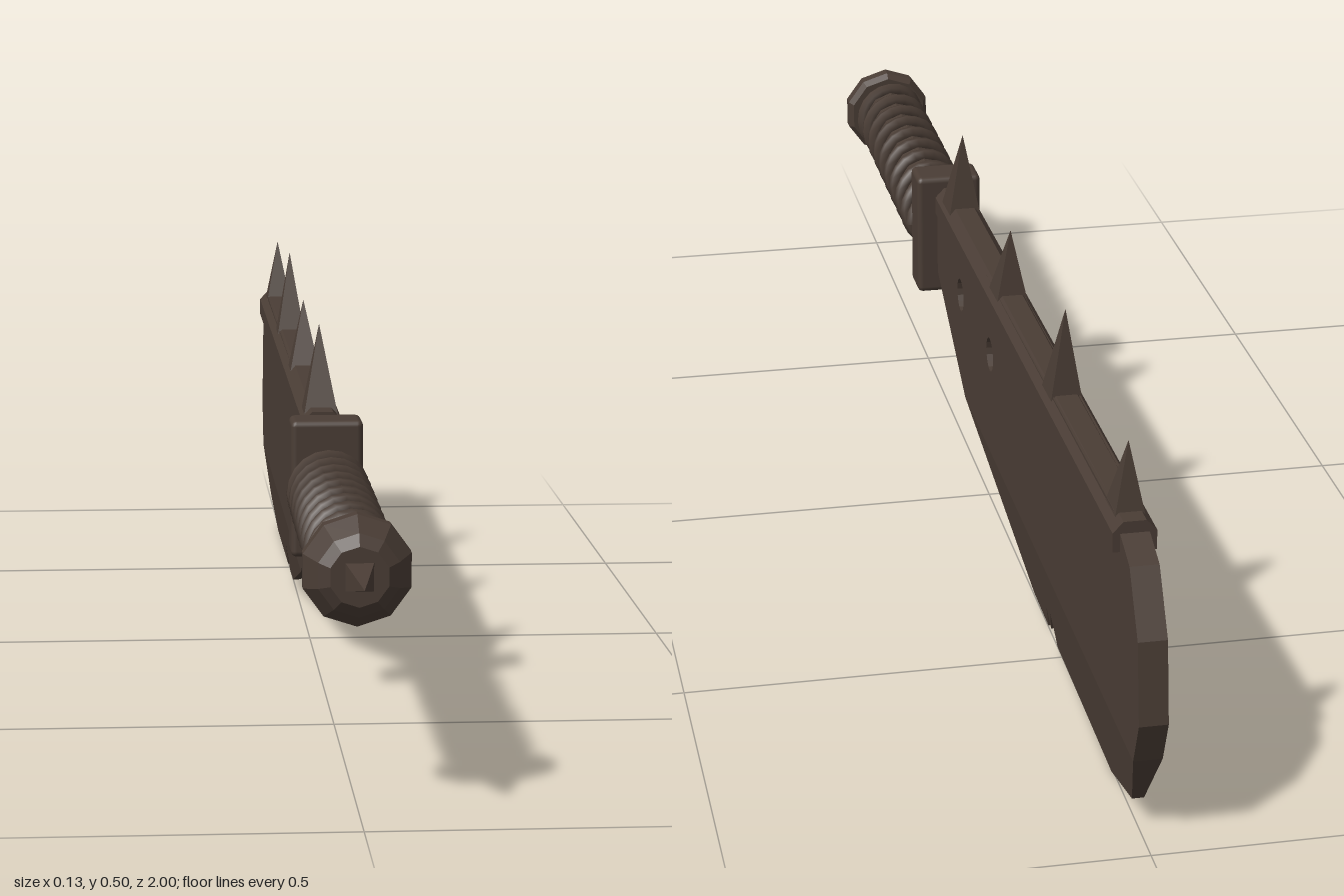
import * as THREE from 'three';
import { RoundedBoxGeometry } from 'three/addons/geometries/RoundedBoxGeometry.js';

const AXIS_Y = 0.287; // height of the handle axis

export function createModel() {
  const group = new THREE.Group();
  const brown = new THREE.MeshStandardMaterial({ color: 0x4a3d35 });
  brown.name = 'darkBrown';

  function add(name, geometry, flat = true) {
    let g = geometry;
    if (flat) {
      if (g.index) g = g.toNonIndexed();
      g.computeVertexNormals();
    }
    const mesh = new THREE.Mesh(g, brown);
    mesh.name = name;
    group.add(mesh);
    return mesh;
  }

  // Extrude a side profile of [z, y] points across x, centred
  function slab(points, half, holes = []) {
    const shape = new THREE.Shape(points.map(([z, y]) => new THREE.Vector2(-z, y)));
    for (const [z, y, r] of holes) {
      const hole = new THREE.Path();
      hole.absarc(-z, y, r, 0, Math.PI * 2, true);
      shape.holes.push(hole);
    }
    const g = new THREE.ExtrudeGeometry(shape, { depth: half * 2, bevelEnabled: false, curveSegments: 8 });
    return g.translate(0, 0, -half).rotateY(Math.PI / 2);
  }

  // Change each vertex by a rule
  function warp(g, rule) {
    const p = g.attributes.position;
    const v = new THREE.Vector3();
    for (let i = 0; i < p.count; i++) {
      rule(v.fromBufferAttribute(p, i));
      p.setXYZ(i, v.x, v.y, v.z);
    }
    return g;
  }

  // Four-sided spike of unit height, base width w and length l
  const pyramid = (w, l) => new THREE.ConeGeometry(Math.SQRT1_2, 1, 4)
    .rotateY(Math.PI / 4).translate(0, 0.5, 0).scale(w, 1, l);

  // Blade: full-thickness upper body with two round holes
  add('bladeBody', slab([
    [0.32, 0.235], [0.09, 0.12], [-0.975, 0.12], [-1, 0.18], [-0.987, 0.285],
    [-0.94, 0.36], [-0.85, 0.393], [0.27, 0.37], [0.32, 0.35],
  ], 0.018, [[0.125, 0.267, 0.024], [-0.095, 0.267, 0.024]]));

  // Cutting edge: thins downward and has a ragged chip
  add('cuttingEdge', warp(slab([
    [0.09, 0.12], [-0.34, 0.018], [-0.43, 0.015], [-0.436, 0.047], [-0.452, 0.022],
    [-0.462, 0.05], [-0.476, 0.035], [-0.487, 0.013], [-0.8, 0.004], [-0.93, 0.042], [-0.975, 0.12],
  ], 0.018), (v) => { v.x *= 0.1 + 0.9 * Math.min(1, v.y / 0.12); }));

  // Reinforced spine with chamfered top, rising slightly to the tip
  const half = [[-0.027, 0.337], [0.027, 0.337], [0.027, 0.362], [0.014, 0.376], [-0.014, 0.376], [-0.027, 0.362]];
  const spine = new THREE.ExtrudeGeometry(
    new THREE.Shape(half.map(([x, y]) => new THREE.Vector2(x, y))), { depth: 1.165, bevelEnabled: false },
  ).translate(0, 0, -0.89);
  add('spine', warp(spine, (v) => { v.y += (0.275 - v.z) * 0.015; }));

  // Spikes along the spine, each leaning toward the tip: [base z, apex z, apex y]
  [[0.213, 0.2, 0.485], [-0.135, -0.15, 0.473], [-0.483, -0.5, 0.502], [-0.838, -0.85, 0.48]]
    .forEach(([z, tip, top], i) => {
      const g = warp(pyramid(0.046, 0.062), (v) => {
        v.z += z + v.y * (tip - z);
        v.y = 0.365 + v.y * (top - 0.365);
      });
      add('spineSpike' + (i + 1), g);
    });

  // Guard
  add('guard', new RoundedBoxGeometry(0.095, 0.182, 0.06, 2, 0.008), false).position.set(0, 0.288, 0.34);

  // Handle core and pommel, turned about the z axis: [radius, z]
  const turned = (profile) => new THREE.LatheGeometry(profile.map(([r, z]) => new THREE.Vector2(r, z)), 10)
    .rotateX(Math.PI / 2);
  add('handle', turned([[0, 0.35], [0.043, 0.35], [0.043, 0.88], [0, 0.88]])).position.y = AXIS_Y;
  add('pommel', turned([[0, 0.858], [0.06, 0.858], [0.067, 0.868], [0.067, 0.887], [0.05, 0.915],
    [0.036, 0.926], [0, 0.926]])).position.y = AXIS_Y;

  // Cord wound around the handle
  class Helix extends THREE.Curve {
    getPoint(t, target = new THREE.Vector3()) {
      const a = t * Math.PI * 2 * 9.5;
      return target.set(0.046 * Math.cos(a), 0.046 * Math.sin(a), 0.365 + t * 0.495);
    }
  }
  add('gripCord', new THREE.TubeGeometry(new Helix(), 190, 0.01, 6), false).position.y = AXIS_Y;

  // Pommel spike
  add('pommelSpike', pyramid(0.036, 0.036).scale(1, 0.08, 1).rotateX(Math.PI / 2))
    .position.set(0, AXIS_Y, 0.92);

  return group;
}
